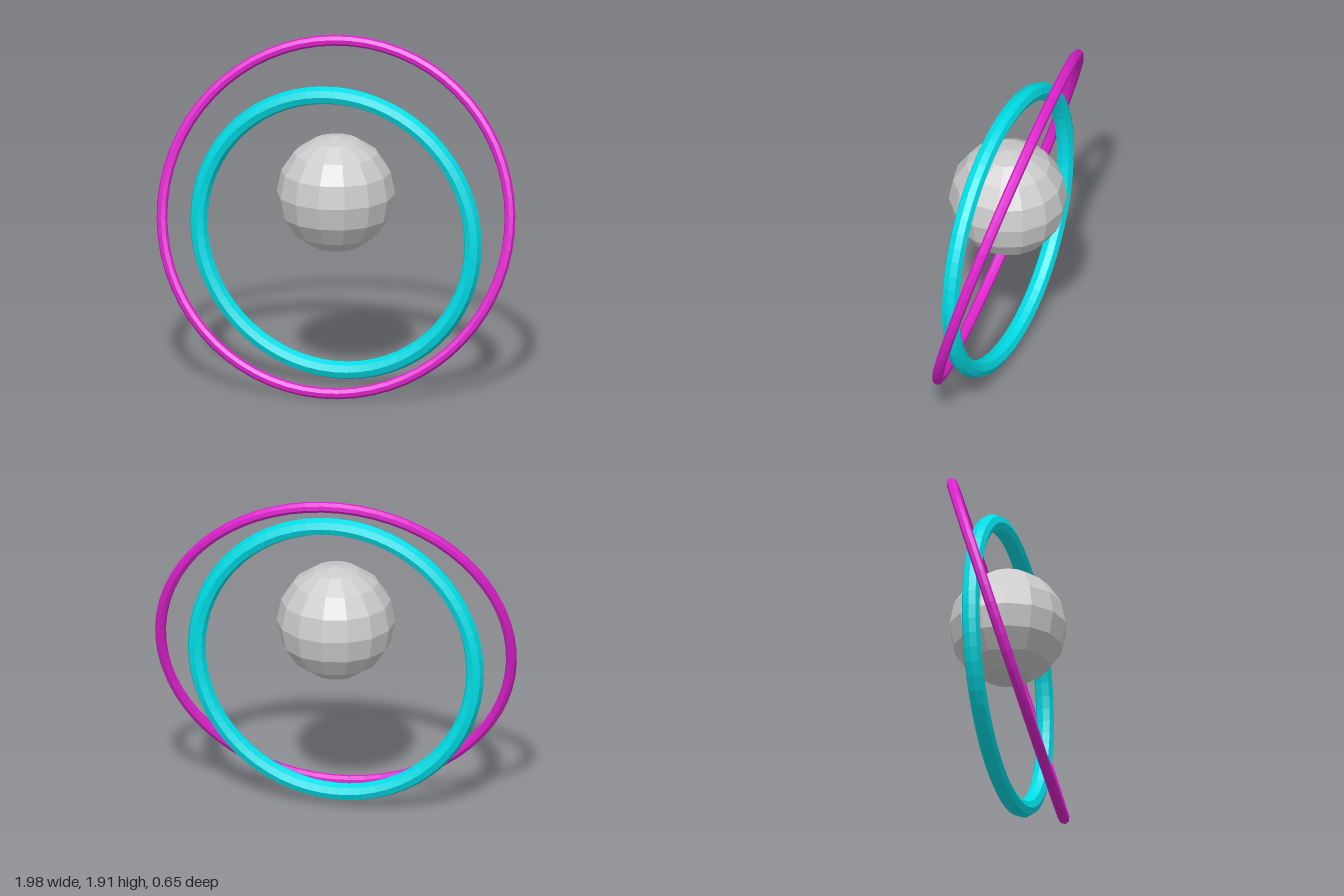
import * as THREE from 'three';

const paint = (color) => new THREE.MeshStandardMaterial({ color, flatShading: true });

export function createModel() {
  const model = new THREE.Group();

  const add = (name, geometry, color, y) => {
    const mesh = new THREE.Mesh(geometry, paint(color));
    mesh.name = name;
    mesh.position.y = y;
    model.add(mesh);
    return mesh;
  };

  // Faceted core ball, floating above the ring centres
  const core = add('coreBall', new THREE.SphereGeometry(0.325, 14, 8), 0xcccccc, 1.105);
  core.rotation.y = Math.PI / 2;

  // Upright inner ring
  add('innerRing', new THREE.TorusGeometry(0.785, 0.05, 8, 64), 0x00dde6, 0.875);

  // Thinner outer ring, leaning back and turned slightly
  const outer = add('outerRing', new THREE.TorusGeometry(0.967, 0.03, 8, 64), 0xdd22cc, 0.965);
  outer.rotation.set(-0.29, 0.11, 0);

  return model;
}
